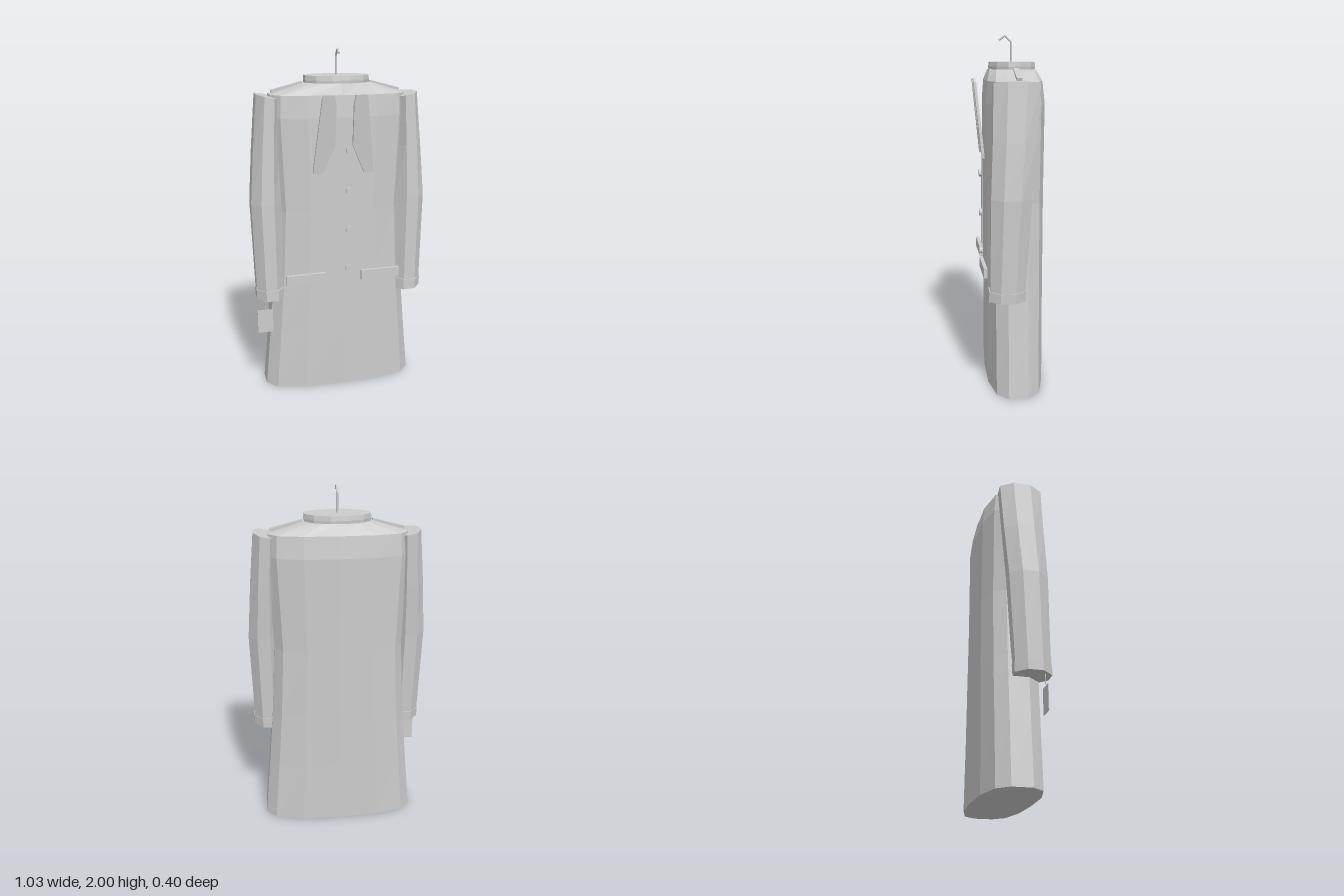
import * as THREE from 'three';

const cloth = new THREE.MeshStandardMaterial({ color: 0xcccccc });
cloth.name = 'grey cloth';

// Faceted mesh: unshared corners give flat normals
function part(name, geometry, parent) {
  const g = geometry.index ? geometry.toNonIndexed() : geometry;
  g.computeVertexNormals();
  const mesh = new THREE.Mesh(g, cloth);
  mesh.name = name;
  parent.add(mesh);
  return mesh;
}

// Closed loft through rings [y, centre x, half width, centre z, half depth, tilt]
function loft(section, rings) {
  const n = section.length, pos = [], idx = [];
  const put = ([y, cx, hx, cz, hz, tilt = 0], [u, v]) =>
    pos.push(cx + u * hx, y + u * tilt, cz + v * hz);
  rings.forEach((r) => section.forEach((p) => put(r, p)));
  for (let k = 0; k < rings.length - 1; k++) {
    for (let i = 0; i < n; i++) {
      const a = k * n + i, b = k * n + (i + 1) % n;
      idx.push(a, a + n, b, b, a + n, b + n);
    }
  }
  const last = rings.length - 1;
  put(rings[0], [0, 0]);
  put(rings[last], [0, 0]);
  const low = n * rings.length, high = low + 1;
  for (let i = 0; i < n; i++) {
    const j = (i + 1) % n;
    idx.push(low, i, j, high, last * n + j, last * n + i);
  }
  const g = new THREE.BufferGeometry();
  g.setAttribute('position', new THREE.Float32BufferAttribute(pos, 3));
  g.setIndex(idx);
  return g;
}

// Regular section with flat sides facing the axes
const polygon = (n) => Array.from({ length: n }, (_, i) => {
  const a = (i + 0.5) / n * Math.PI * 2;
  return [Math.cos(a), Math.sin(a)];
});

export function createModel() {
  const coat = new THREE.Group();
  coat.name = 'coat';

  // Body, flared at the hem and closed over the shoulders
  const quarter = [[1, 0.33], [0.87, 0.72], [0.5, 0.95]];
  const flip = (list, sx, sz) => list.map(([u, v]) => [u * sx, v * sz]);
  const back = [...quarter].reverse();
  const section = [
    ...quarter, [0, 1], ...flip(back, -1, 1),
    ...flip(quarter, -1, -1), [0, -1], ...flip(back, 1, -1),
  ];
  part('body', loft(section, [
    [0, 0, 0.452, -0.025, 0.167],
    [0.37, 0, 0.418, -0.025, 0.167],
    [0.7, 0, 0.39, -0.026, 0.168],
    [1.1, 0, 0.368, -0.027, 0.168],
    [1.63, 0, 0.392, -0.027, 0.17],
    [1.75, 0, 0.385, -0.025, 0.158],
    [1.81, 0, 0.19, -0.022, 0.135],
  ]), coat);

  // Standing collar
  part('collar', loft(polygon(12), [
    [1.785, 0, 0.185, -0.025, 0.132],
    [1.825, 0, 0.19, -0.025, 0.134],
    [1.85, 0, 0.188, -0.025, 0.13],
  ]), coat);

  for (const [side, s] of [['left', 1], ['right', -1]]) {
    // Sleeve and cuff
    const arm = polygon(8);
    part(side + 'Sleeve', loft(arm, [
      [0.62, s * 0.418, 0.086, 0.038, 0.103],
      [1.15, s * 0.426, 0.094, 0.018, 0.118],
      [1.45, s * 0.415, 0.082, 0, 0.125],
      [1.742, s * 0.398, 0.07, -0.013, 0.132, s * 0.015],
    ]), coat);
    part(side + 'Cuff', loft(arm, [
      [0.58, s * 0.415, 0.091, 0.04, 0.108, s * 0.004],
      [0.642, s * 0.416, 0.092, 0.038, 0.109, s * -0.004],
    ]), coat);

    // Shoulder strap
    const strap = part(side + 'ShoulderStrap', new THREE.BoxGeometry(0.185, 0.016, 0.03), coat);
    strap.position.set(s * 0.283, 1.787, -0.03);
    strap.rotation.z = -s * 0.25;

    // Lapel leaning forward at the top
    const outline = [[0.06, 0.44], [0.05, 0.39], [0.05, 0.16], [0.12, 0],
      [0.17, 0.005], [0.172, 0.03], [0.127, 0.425], [0.12, 0.44]];
    const shape = new THREE.Shape(outline.map(([x, y]) => new THREE.Vector2(s * x, y)));
    const lapel = part(side + 'Lapel',
      new THREE.ExtrudeGeometry(shape, { depth: 0.015, bevelEnabled: false }), coat);
    lapel.position.set(0, 1.32, 0.14);
    lapel.rotation.x = 0.1;

    // Pocket flap
    const pocket = part(side + 'Pocket', new THREE.BoxGeometry(0.235, 0.058, 0.02), coat);
    pocket.position.set(s * 0.222, 0.708, 0.157);
    pocket.rotation.y = 0.05;
  }

  // Front buttons
  for (const y of [1.45, 1.22, 0.987, 0.755]) {
    const button = part('button', new THREE.CylinderGeometry(0.02, 0.02, 0.016, 12), coat);
    button.rotation.x = Math.PI / 2;
    button.position.set(0.033, y, 0.16);
  }

  // Hanger hook
  const hook = new THREE.CurvePath();
  const points = [[1.83, -0.022], [1.96, -0.022], [1.994, 0.014], [1.972, 0.042]]
    .map(([y, z]) => new THREE.Vector3(0, y, z));
  for (let i = 0; i < 3; i++) hook.add(new THREE.LineCurve3(points[i], points[i + 1]));
  part('hangerHook', new THREE.TubeGeometry(hook, 24, 0.006, 8), coat);
  for (const p of [points[0], points[3]]) {
    part('hookTip', new THREE.SphereGeometry(0.006, 8, 6), coat).position.copy(p);
  }

  // Tag hanging from the right cuff
  part('tag', new THREE.BoxGeometry(0.09, 0.14, 0.004), coat).position.set(-0.457, 0.445, 0.1);
  part('tagString', new THREE.BoxGeometry(0.004, 0.08, 0.004), coat).position.set(-0.457, 0.55, 0.1);

  return coat;
}
